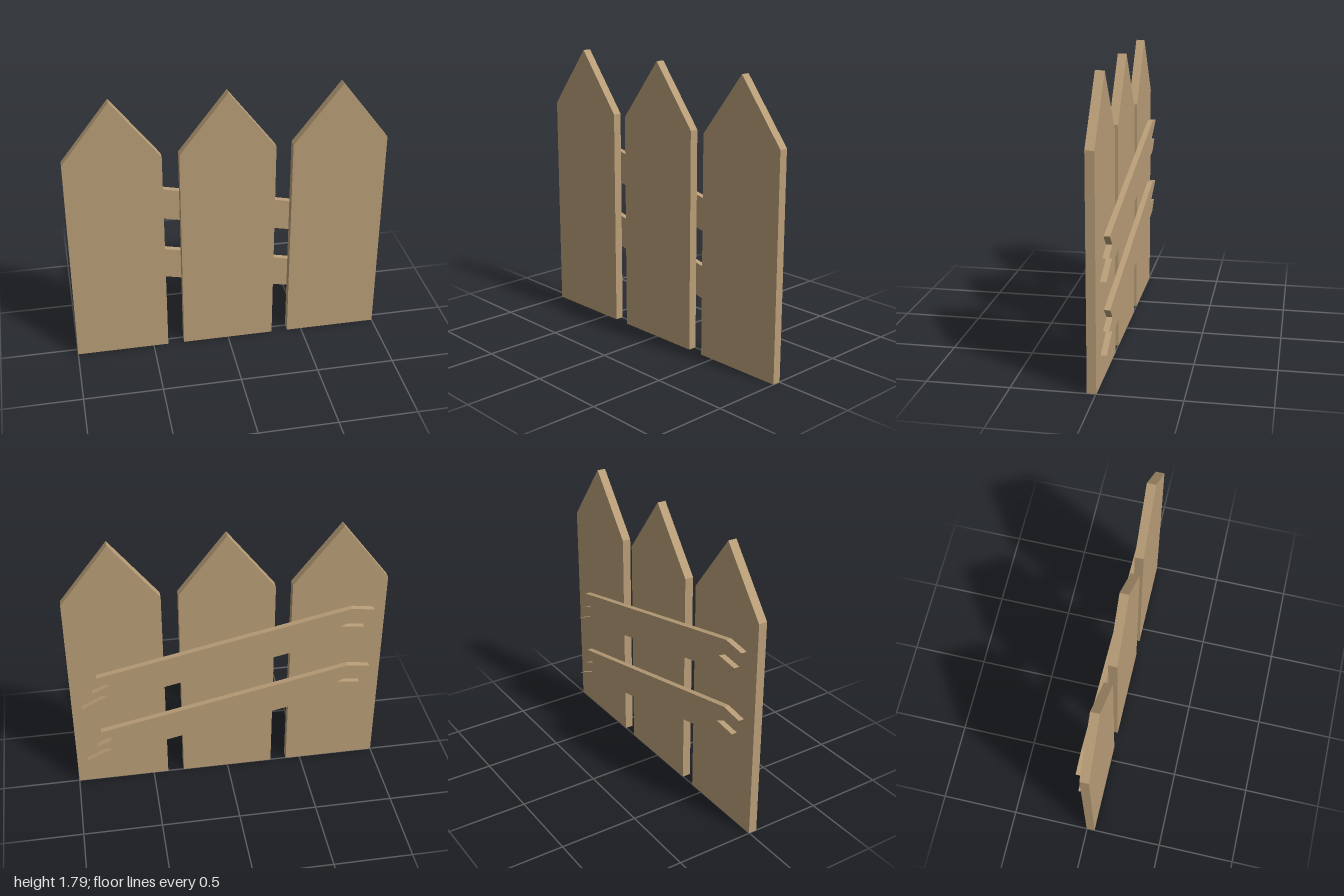
import * as THREE from 'three';

const wood = new THREE.MeshStandardMaterial({ color: 0xb89d77, flatShading: true });

// Flat board: outline in x/y, spanning z0..z1
function board(name, points, z0, z1) {
  const shape = new THREE.Shape(points.map(([x, y]) => new THREE.Vector2(x, y)));
  const geometry = new THREE.ExtrudeGeometry(shape, { depth: z1 - z0, bevelEnabled: false });
  geometry.translate(0, 0, z0);
  const mesh = new THREE.Mesh(geometry, wood);
  mesh.name = name;
  return mesh;
}

export function createModel() {
  const fence = new THREE.Group();
  fence.name = 'picketFence';

  // Three pointed upright planks
  const picket = [[-0.298, 0], [0.298, 0], [0.298, 1.405], [0, 1.79], [-0.298, 1.405]];
  [['rightPicket', -0.702], ['middlePicket', 0], ['leftPicket', 0.702]].forEach(([name, x]) => {
    const mesh = board(name, picket, -0.003, 0.052);
    mesh.position.x = x;
    fence.add(mesh);
  });

  // Two slanted rails behind, with splintered ends
  const rail = [
    [-0.78, 1.017], [0.935, 0.648], // lower edge
    [0.765, 0.73], [0.862, 0.762], [0.755, 0.81], [0.83, 0.88], // splinters at the low end
    [-0.775, 1.226], // upper edge
    [-0.92, 1.205], [-0.71, 1.1], [-0.86, 1.082], // splinters at the high end
  ];
  [['upperRail', 0], ['lowerRail', -0.438]].forEach(([name, y]) => {
    const mesh = board(name, rail, -0.052, -0.016);
    mesh.position.y = y;
    fence.add(mesh);
  });

  return fence;
}
